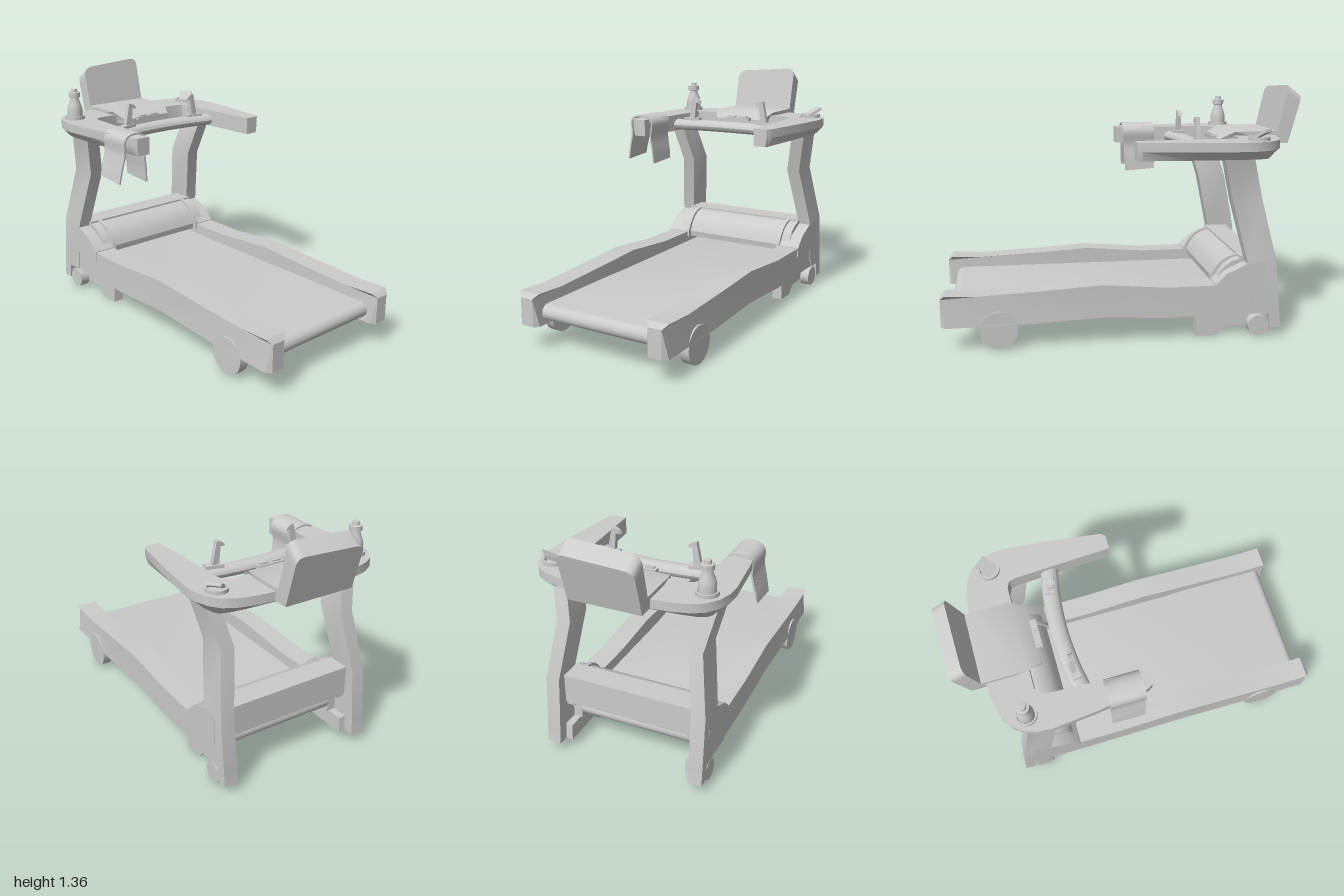
import * as THREE from 'three';
import { toCreasedNormals } from 'three/addons/utils/BufferGeometryUtils.js';

const grey = new THREE.MeshStandardMaterial({ color: 0xcccccc });
const thin = new THREE.MeshStandardMaterial({ color: 0xcccccc, side: THREE.DoubleSide });

// Moves every vertex by a rule
function warp(geo, rule) {
  const p = geo.attributes.position;
  const v = new THREE.Vector3();
  for (let i = 0; i < p.count; i++) {
    rule(v.fromBufferAttribute(p, i));
    p.setXYZ(i, v.x, v.y, v.z);
  }
  return geo;
}

const shapeOf = (pts) => new THREE.Shape(pts.map(([a, b]) => new THREE.Vector2(a, b)));

// Extrudes a [z, y] profile sideways between two x positions
function sideExtrude(pts, xa, xb) {
  const geo = new THREE.ExtrudeGeometry(shapeOf(pts), { depth: Math.abs(xb - xa), bevelEnabled: false });
  return geo.rotateY(-Math.PI / 2).translate(Math.max(xa, xb), 0, 0);
}

export function createModel() {
  const model = new THREE.Group();
  const add = (name, geo, material = grey) => {
    const mesh = new THREE.Mesh(toCreasedNormals(geo, 0.5), material);
    mesh.name = name;
    model.add(mesh);
    return mesh;
  };

  // Running belt: a flat loop with rounded ends
  const belt = [];
  for (const [z, start] of [[0.907, -Math.PI / 2], [-0.64, Math.PI / 2]]) {
    for (let i = 0; i <= 10; i++) {
      const a = start + (i / 10) * Math.PI;
      belt.push([z + 0.043 * Math.cos(a), 0.198 + 0.043 * Math.sin(a)]);
    }
  }
  add('runningBelt', sideExtrude(belt, -0.335, 0.335));

  // Motor hood, its raised rims and the rear beam
  const hood = [[-0.73, 0.275], [-0.49, 0.275], [-0.485, 0.31], [-0.505, 0.355], [-0.535, 0.395],
    [-0.575, 0.42], [-0.62, 0.434], [-0.73, 0.434]];
  add('motorHood', sideExtrude(hood, -0.39, 0.39));
  add('rearBeam', new THREE.BoxGeometry(0.78, 0.17, 0.13).translate(0, 0.36, -0.685));

  for (const s of [-1, 1]) {
    const side = s < 0 ? 'right' : 'left';

    // Side rail with a gentle hump and chamfered nose
    const rail = [[-0.68, 0.135], [-0.2, 0.135], [0.15, 0.155], [0.6, 0.135], [0.975, 0.135], [1, 0.135],
      [1, 0.285], [0.975, 0.31], [0.8, 0.302], [0.4, 0.32], [0.15, 0.335], [-0.2, 0.305], [-0.68, 0.305]];
    add(side + 'Rail', warp(sideExtrude(rail, s * 0.33, s * 0.455), (v) => {
      if (v.z > 0.99) v.x = s * 0.3925 + (v.x - s * 0.3925) * 0.6;
    }));

    // Shoulder cover joining rail and upright
    const cover = [[-0.68, 0.255], [-0.47, 0.255], [-0.47, 0.31], [-0.53, 0.37], [-0.64, 0.42], [-0.74, 0.43],
      [-0.74, 0.255]];
    add(side + 'ShoulderCover', sideExtrude(cover, s * 0.335, s * 0.46));

    const rim = [[-0.66, 0.275], [-0.465, 0.275], [-0.465, 0.315], [-0.49, 0.365], [-0.525, 0.407],
      [-0.57, 0.433], [-0.62, 0.445], [-0.66, 0.445]];
    add(side + 'HoodRim', sideExtrude(rim, s * 0.315, s * 0.335));

    // Cranked upright: rows of [y, front z, back z, centre x]
    const rows = [[1.02, -0.495, -0.655, 0.428], [0.77, -0.56, -0.725, 0.373], [0.44, -0.638, -0.8, 0.421],
      [0.25, -0.66, -0.818, 0.42], [0.136, -0.68, -0.831, 0.42], [0.134, -0.77, -0.831, 0.42],
      [0.05, -0.78, -0.84, 0.42]];
    const last = rows.length - 1;
    add(side + 'Upright', warp(new THREE.BoxGeometry(0.078, 1, 1, 1, last, 1), (v) => {
      const [y, front, back, x] = rows[Math.round((0.5 - v.y) * last)];
      v.set(v.x + s * x, y, v.z > 0 ? front : back);
    }));

    // Foot and wheels
    const foot = [[-0.78, 0.05], [-0.77, 0.14], [-0.375, 0.14], [-0.375, 0], [-0.49, 0], [-0.54, 0.05]];
    add(side + 'Foot', sideExtrude(foot, s * 0.34, s * 0.4));
    for (const [name, z, y, r] of [['RearWheel', -0.715, 0.065, 0.058], ['FrontWheel', 0.7, 0.11, 0.102]]) {
      add(side + name, new THREE.CylinderGeometry(r, r, 0.055, 28).rotateZ(Math.PI / 2)
        .translate(s * 0.427, y, z));
    }

    // Hooked lever and its base plate on the crossbar
    const lever = shapeOf([[0.228, 1.05], [0.27, 1.05], [0.24, 1.197], [0.222, 1.195], [0.2, 1.182],
      [0.19, 1.165], [0.217, 1.167]].map(([x, y]) => [s * x, y]));
    add(side + 'Lever', new THREE.ExtrudeGeometry(lever, { depth: 0.026, bevelEnabled: false })
      .translate(0, 0, -0.415));
    add(side + 'LeverBase', new THREE.BoxGeometry(0.1, 0.025, 0.045).rotateY(s * -0.2)
      .translate(s * 0.25, 1.06, -0.403));
  }

  // U-shaped console with forward arms, undercut around the outside
  const half = [[0.1, -0.622], [0.29, -0.622], [0.325, -0.605], [0.335, -0.57], [0.362, -0.035], [0.442, -0.035],
    [0.46, -0.06], [0.5, -0.35], [0.522, -0.58], [0.517, -0.66], [0.492, -0.73], [0.45, -0.785],
    [0.39, -0.82], [0.3, -0.843], [0.15, -0.86]];
  const outline = [...half, ...half.map(([x, z]) => [-x, z]).reverse()];
  const consoleGeo = new THREE.ExtrudeGeometry(shapeOf(outline), { depth: 0.097, steps: 2, bevelEnabled: false });
  consoleGeo.rotateX(Math.PI / 2).translate(0, 1.087, 0);
  add('console', warp(consoleGeo, (v) => {
    if (v.y > 1) return;
    const x = Math.abs(v.x);
    if (x > 0.43) v.x = Math.sign(v.x) * (0.43 + (x - 0.43) * 0.4);
    if (v.z < -0.7) v.z = -0.7 + (v.z + 0.7) * 0.5;
  }));

  // Gently bowed crossbar with an oval section
  const barPath = new THREE.CatmullRomCurve3([[-0.37, 0.04], [-0.2, 0.012], [0, 0], [0.2, 0.012], [0.37, 0.04]]
    .map(([x, z]) => new THREE.Vector3(x, 0, z)));
  add('crossbar', warp(new THREE.TubeGeometry(barPath, 24, 0.034, 16), (v) => {
    const mid = 0.29 * v.x * v.x;
    v.z = -0.42 + mid + (v.z - mid) * 1.4;
    v.y += 1.027;
  }));

  // Control tray sloping down to the front
  const tray = [[-0.88, 1.04], [-0.55, 1.04], [-0.55, 1.065], [-0.63, 1.108], [-0.88, 1.108]];
  add('controlTray', warp(sideExtrude(tray, -0.198, 0.198), (v) => {
    if (v.z > -0.56) v.x *= 0.82;
  }));
  add('controlButtons', new THREE.BoxGeometry(0.16, 0.02, 0.035).translate(0, 1.066, -0.54));
  for (const x of [-0.04, 0.04]) {
    add('button', new THREE.BoxGeometry(0.05, 0.012, 0.02).translate(x, 1.078, -0.535));
  }

  // Leaning display with rounded, slightly slanted top
  const panel = new THREE.Shape();
  panel.moveTo(-0.198, 1.04).lineTo(0.198, 1.04).lineTo(0.198, 1.315);
  panel.quadraticCurveTo(0.198, 1.367, 0.15, 1.362).lineTo(-0.145, 1.342);
  panel.quadraticCurveTo(-0.198, 1.337, -0.198, 1.285).closePath();
  const display = new THREE.ExtrudeGeometry(panel, { depth: 0.075, bevelEnabled: false, curveSegments: 8 });
  add('display', warp(display, (v) => {
    const lean = 0.22 * (v.y - 1.04);
    if (v.z > 0.01) v.y = 1.04 + (v.y - 1.04) * 0.82;
    v.z = -0.86 - v.z - lean;
  }).scale(-1, 1, 1).scale(-1, 1, 1));
  // Depth runs backwards here, so turn the faces outward again
  const dp = display.attributes.position;
  const a = new THREE.Vector3(), b = new THREE.Vector3();
  for (let i = 0; i < dp.count; i += 3) {
    a.fromBufferAttribute(dp, i + 1);
    b.fromBufferAttribute(dp, i + 2);
    dp.setXYZ(i + 1, b.x, b.y, b.z);
    dp.setXYZ(i + 2, a.x, a.y, a.z);
  }
  model.getObjectByName('display').geometry = toCreasedNormals(display, 0.5);

  // Cup holders, bottle and a small tilted handset
  const lathe = (pts) => new THREE.LatheGeometry(pts.map(([r, y]) => new THREE.Vector2(r, y)), 28);
  for (const x of [-0.418, 0.418]) {
    add('cupHolder', lathe([[0.058, 1.08], [0.058, 1.106], [0.048, 1.106], [0.044, 1.09], [0, 1.09]])
      .translate(x, 0, -0.695));
  }
  add('bottle', lathe([[0, 1.088], [0.044, 1.088], [0.045, 1.14], [0.04, 1.165], [0.028, 1.195], [0.025, 1.215],
    [0.034, 1.217], [0.034, 1.243], [0.02, 1.245], [0.018, 1.264], [0, 1.266]]).translate(-0.418, 0, -0.695));
  add('handset', new THREE.BoxGeometry(0.075, 0.016, 0.1).rotateX(0.5).rotateY(-Math.PI / 4)
    .translate(0.428, 1.117, -0.7));

  // Towel draped over the right arm
  const drape = new THREE.CatmullRomCurve3([[-0.522, 0.835], [-0.505, 0.92], [-0.488, 1.0], [-0.488, 1.07],
    [-0.46, 1.098], [-0.38, 1.098], [-0.346, 1.065], [-0.357, 0.98], [-0.348, 0.9], [-0.342, 0.818]]
    .map(([x, y]) => new THREE.Vector3(x, y, 0))).getPoints(40);
  const edge = (d) => drape.map((p, i) => {
    const t = drape[Math.min(i + 1, 40)].clone().sub(drape[Math.max(i - 1, 0)]).normalize();
    return [p.x - t.y * d, p.y + t.x * d];
  });
  const cloth = shapeOf([...edge(0.005), ...edge(-0.005).reverse()]);
  add('towel', warp(new THREE.ExtrudeGeometry(cloth, { depth: 0.18, steps: 4, bevelEnabled: false }), (v) => {
    v.z = -0.275 + v.z + 0.06 * (v.y - 0.82) * (v.z / 0.18);
    v.y += v.y < 0.9 ? (v.z + 0.1) * -0.07 : 0;
  }), thin);

  return model;
}
